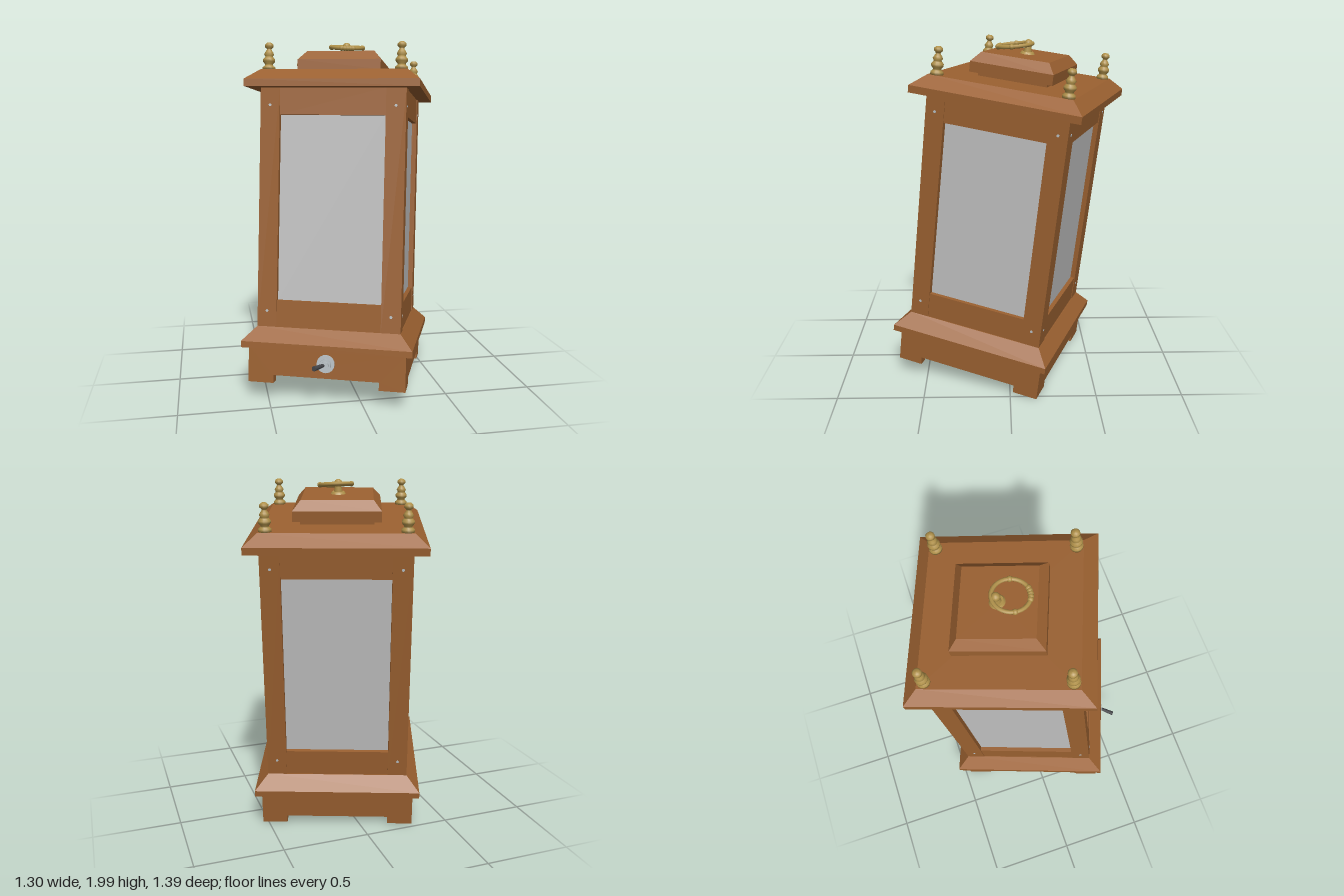
import * as THREE from 'three';

const mat = (name, color) => {
  const m = new THREE.MeshStandardMaterial({ color });
  m.name = name;
  return m;
};

export function createModel() {
  const wood = mat('wood', 0x9a6030);
  const glass = mat('frosted glass', 0xc0c0c0);
  const brass = mat('brass', 0xb0914a);
  const steel = mat('steel', 0xb8c0c4);
  const dark = mat('dark metal', 0x45464a);

  const model = new THREE.Group();
  model.name = 'lantern';
  const body = new THREE.Group();
  body.name = 'lanternBody';
  model.add(body);

  const add = (parent, name, geo, material, x = 0, y = 0, z = 0) => {
    const mesh = new THREE.Mesh(geo, material);
    mesh.name = name;
    mesh.position.set(x, y, z);
    parent.add(mesh);
    return mesh;
  };
  const box = (parent, name, w, h, d, material, x, y, z) =>
    add(parent, name, new THREE.BoxGeometry(w, h, d), material, x, y, z);

  // Square moulding from a profile of [half width, height], closed at both ends
  const moulding = (name, profile) => {
    const pts = [[0, profile[0][1]], ...profile, [0, profile[profile.length - 1][1]]]
      .map(([r, h]) => new THREE.Vector2(r * Math.SQRT2, h));
    const geo = new THREE.LatheGeometry(pts, 4).toNonIndexed();
    geo.rotateY(Math.PI / 4);
    geo.computeVertexNormals();
    return add(body, name, geo, wood);
  };

  moulding('baseLedge', [[0.478, 0.2], [0.478, 0.235], [0.405, 0.31]]);
  moulding('roof', [[0.48, 1.645], [0.48, 1.685], [0.407, 1.745]]);
  moulding('capNeck', [[0.2, 1.74], [0.2, 1.77]]);
  moulding('roofCap', [[0.239, 1.765], [0.239, 1.823], [0.195, 1.875]]);

  // Base wall with a notch between two feet
  const B = 0.442, N = B - 0.145;
  const wall = new THREE.Shape([
    [-B, 0], [-N, 0], [-N, 0.045], [N, 0.045], [N, 0], [B, 0], [B, 0.205], [-B, 0.205],
  ].map(([x, y]) => new THREE.Vector2(x, y)));
  const wallGeo = new THREE.ExtrudeGeometry(wall, { depth: 0.05, bevelEnabled: false });
  const screwGeo = new THREE.CylinderGeometry(0.008, 0.008, 0.006, 10).rotateX(Math.PI / 2);

  // Four identical sides
  for (let i = 0; i < 4; i++) {
    const side = new THREE.Group();
    side.name = 'side' + (i + 1);
    side.rotation.y = i * Math.PI / 2;
    body.add(side);
    add(side, 'baseWall', wallGeo, wood, 0, 0, B - 0.05);
    box(side, 'cornerPost', 0.11, 1.35, 0.11, wood, 0.35, 0.975, 0.35);
    box(side, 'bottomRail', 0.59, 0.16, 0.04, wood, 0, 0.38, 0.381);
    box(side, 'topRail', 0.59, 0.15, 0.04, wood, 0, 1.572, 0.381);
    box(side, 'windowPane', 0.59, 1.05, 0.008, glass, 0, 0.978, 0.372);
    for (const x of [-0.35, 0.35]) {
      for (const y of [0.4, 1.55]) add(side, 'screw', screwGeo, steel, x, y, 0.404);
    }
  }

  // Turned finials on the roof corners
  const finialGeo = new THREE.LatheGeometry([
    [0, 0], [0.035, 0], [0.035, 0.016], [0.024, 0.024], [0.022, 0.032], [0.033, 0.046],
    [0.034, 0.058], [0.024, 0.07], [0.021, 0.076], [0.028, 0.086], [0.022, 0.098],
    [0.013, 0.112], [0.014, 0.118], [0.024, 0.127], [0.024, 0.14], [0.014, 0.15], [0, 0.152],
  ].map(([r, y]) => new THREE.Vector2(r, y)), 14);
  for (const x of [-0.37, 0.37]) {
    for (const z of [-0.37, 0.37]) add(body, 'finial', finialGeo, brass, x, 1.744, z);
  }

  // Ring handle lying forward from its mount
  const handle = new THREE.Group();
  handle.name = 'handle';
  handle.position.set(0, 1.875, -0.005);
  handle.rotation.y = 0.2;
  body.add(handle);
  add(handle, 'mountPlate', new THREE.CylinderGeometry(0.034, 0.042, 0.012, 16), brass, 0, 0.006, 0);
  add(handle, 'mountPost', new THREE.CylinderGeometry(0.016, 0.024, 0.05, 12), brass, 0, 0.033, 0);
  add(handle, 'mountKnob', new THREE.SphereGeometry(0.024, 12, 8), brass, 0, 0.056, 0);
  const ring = new THREE.Group();
  ring.name = 'ring';
  ring.position.y = 0.054;
  ring.rotation.x = 0.2;
  handle.add(ring);
  const R = 0.09;
  const hoop = add(ring, 'hoop', new THREE.TorusGeometry(R, 0.011, 8, 32).rotateX(Math.PI / 2),
    brass, 0, 0, 0.075);
  hoop.scale.z = 1.08;
  for (const a of [-1.5, -0.36, -0.18, 0, 0.18, 0.36, 1.5]) {
    const bead = add(ring, 'bead', new THREE.SphereGeometry(0.016, 10, 8), brass,
      Math.sin(a) * R, 0, 0.075 + Math.cos(a) * R * 1.08);
    bead.scale.y = 0.95;
  }

  // Toggle switch through the front wall
  const toggle = new THREE.Group();
  toggle.name = 'toggleSwitch';
  toggle.position.set(0, 0.129, B);
  body.add(toggle);
  const disc = (name, r, len, sides, material, z) =>
    add(toggle, name, new THREE.CylinderGeometry(r, r, len, sides).rotateX(Math.PI / 2), material, 0, 0, z);
  disc('switchPlate', 0.05, 0.01, 20, steel, 0.005);
  disc('switchNut', 0.032, 0.016, 6, steel, 0.016);
  disc('switchCollar', 0.02, 0.03, 14, steel, 0.025);
  disc('switchBody', 0.055, 0.07, 16, dark, -0.085);
  disc('switchBackNut', 0.03, 0.02, 6, steel, -0.125);
  const lever = add(toggle, 'switchLever',
    new THREE.CylinderGeometry(0.014, 0.009, 0.1, 12).rotateX(Math.PI / 2), dark, -0.022, 0, 0.07);
  lever.rotation.y = -0.4;

  // The whole lantern is turned and leans back
  body.rotation.set(-0.115, -0.37, 0, 'YXZ');
  body.position.set(-0.04, 0.051, 0.1);
  return model;
}
